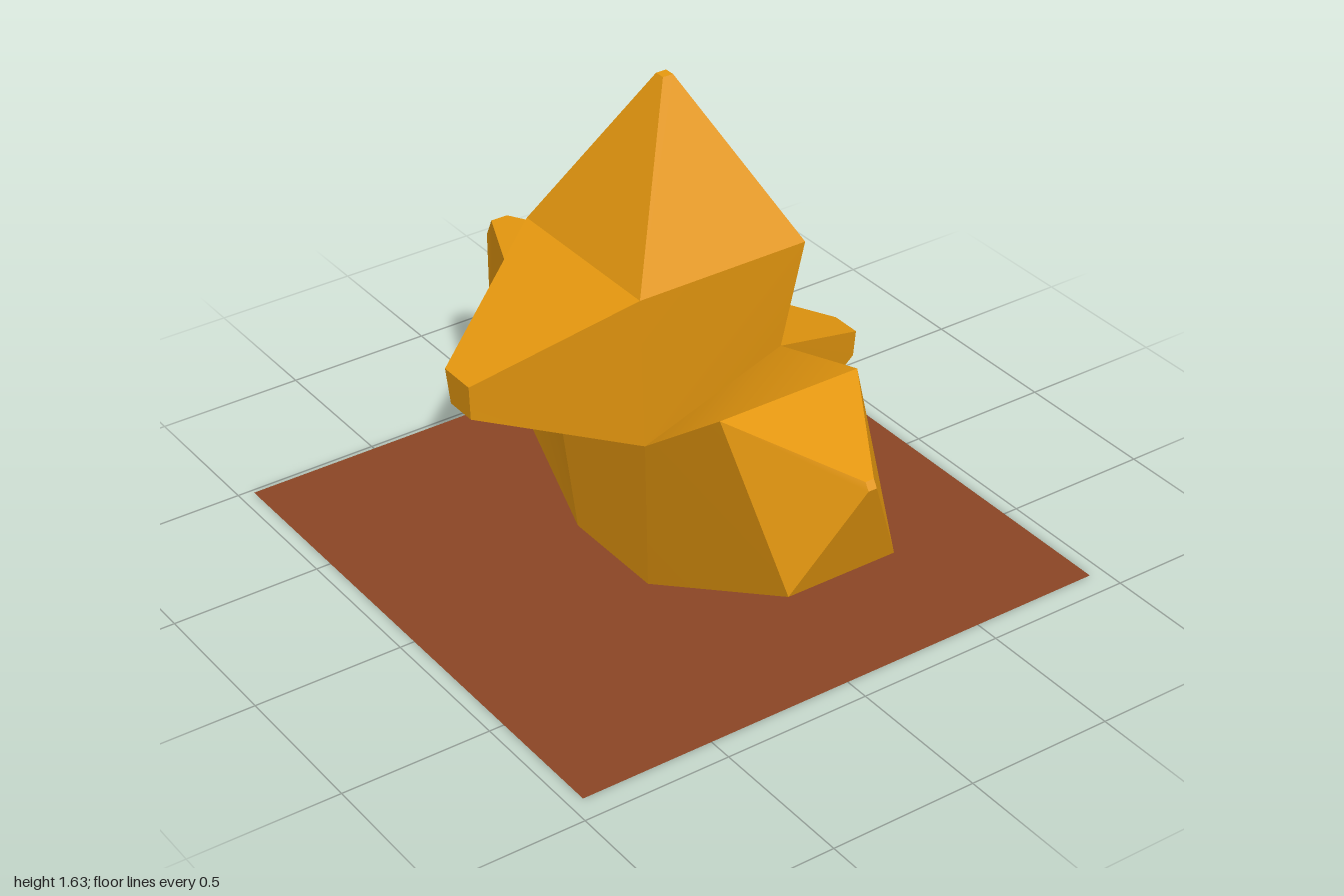
import * as THREE from 'three';

// Quads are indexed separately, so flat ones stay faceted and twisted ones shade softly.
function quadMesh(name, quads, material) {
  const positions = [], index = [];
  quads.forEach((quad, i) => {
    quad.forEach(p => positions.push(...p));
    const k = i * 4;
    index.push(k, k + 1, k + 2, k, k + 2, k + 3);
  });
  const geometry = new THREE.BufferGeometry();
  geometry.setAttribute('position', new THREE.Float32BufferAttribute(positions, 3));
  geometry.setIndex(index);
  geometry.computeVertexNormals();
  const mesh = new THREE.Mesh(geometry, material);
  mesh.name = name;
  return mesh;
}

// Walls through four-cornered rings (counter-clockwise seen from the tip), closed at the tip.
function loft(rings) {
  const quads = [];
  for (let r = 0; r < rings.length - 1; r++) {
    const a = rings[r], b = rings[r + 1];
    for (let i = 0; i < 4; i++) {
      const j = (i + 1) % 4;
      quads.push([a[i], a[j], b[j], b[i]]);
    }
  }
  quads.push(rings[rings.length - 1]);
  return quads;
}

export function createModel() {
  const gold = new THREE.MeshStandardMaterial({ color: 0xe6980f });
  gold.name = 'gold';
  const brown = new THREE.MeshStandardMaterial({ color: 0x8b4525, side: THREE.DoubleSide });
  brown.name = 'brown';

  const model = new THREE.Group();
  model.name = 'facetedFigure';
  const add = (name, quads) => model.add(quadMesh(name, quads, gold));

  // Shared corners of the central body: front/back, -x/+x
  const footFrontA = [-0.23, 0, 0.2], footFrontB = [0.16, 0, 0.2];
  const footBackA = [-0.23, 0, -0.2], footBackB = [0.16, 0, -0.2];
  const waistFrontA = [-0.28, 0.56, 0.25], waistFrontB = [0.22, 0.56, 0.25];
  const hipBackA = [-0.255, 0.28, -0.225], hipBackB = [0.19, 0.28, -0.225];
  const waistBackA = [-0.28, 0.74, -0.25], waistBackB = [0.225, 0.74, -0.25];
  const headFrontA = [-0.33, 1.11, 0.3], headFrontB = [0.27, 1.11, 0.3];
  const headBackA = [-0.33, 1.11, -0.3], headBackB = [0.27, 1.11, -0.3];

  // Front and back walls of the base
  add('body', [
    [footFrontA, footFrontB, waistFrontB, waistFrontA],
    [footBackB, footBackA, hipBackA, hipBackB],
  ]);

  // Side and back walls of the head
  add('head', [
    [waistFrontB, waistBackB, headBackB, headFrontB],
    [waistBackB, waistBackA, headBackA, headBackB],
    [waistBackA, waistFrontA, headFrontA, headBackA],
  ]);

  // Pointed crown
  add('crown', loft([
    [headFrontA, headFrontB, headBackB, headBackA],
    [[-0.05, 1.635, 0.018], [-0.015, 1.635, 0.018], [-0.015, 1.635, -0.018], [-0.05, 1.635, -0.018]],
  ]));

  // Beak on the front of the head
  add('beak', loft([
    [waistFrontA, waistFrontB, headFrontB, headFrontA],
    [[-0.09, 0.73, 0.735], [0.02, 0.73, 0.735], [0.03, 0.85, 0.745], [-0.1, 0.85, 0.745]],
  ]));

  // Tail on the back
  add('tail', loft([
    [hipBackB, hipBackA, waistBackA, waistBackB],
    [[0.015, 0.44, -0.7], [-0.08, 0.44, -0.7], [-0.085, 0.53, -0.705], [0.02, 0.53, -0.705]],
  ]));

  // Arms: each section gives the lower and upper corner pair as [x, y, half depth]
  const section = (side, low, high) => [
    [low[0], low[1], side * low[2]], [low[0], low[1], -side * low[2]],
    [high[0], high[1], -side * high[2]], [high[0], high[1], side * high[2]],
  ];
  add('leftArm', loft([
    [footFrontB, footBackB, waistBackB, waistFrontB],
    section(1, [0.87, 0.365, 0.195], [0.6, 0.85, 0.25]),
    section(1, [1, 0.735, 0.015], [0.985, 0.76, 0.015]),
  ]));
  add('rightArm', loft([
    [footBackA, footFrontA, waistFrontA, waistBackA],
    section(-1, [-0.815, 0.375, 0.14], [-0.64, 0.74, 0.18]),
    section(-1, [-1, 0.65, 0.03], [-0.97, 0.715, 0.03]),
  ]));

  // Ground sheet
  const ground = new THREE.Mesh(new THREE.PlaneGeometry(1.9, 1.9).rotateX(-Math.PI / 2), brown);
  ground.position.x = -0.035;
  ground.name = 'groundSheet';
  model.add(ground);

  return model;
}
